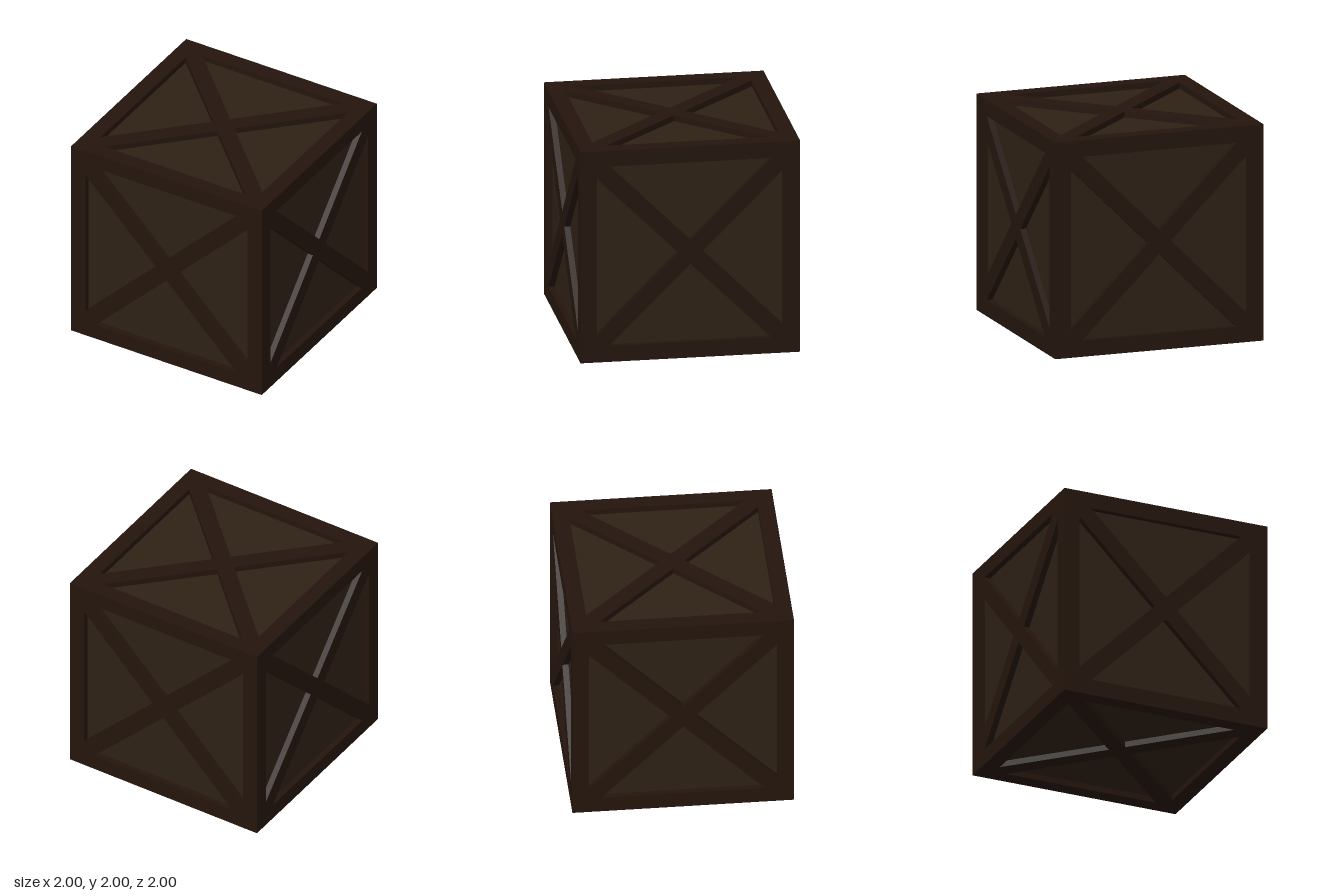
import * as THREE from 'three';

const BEAM = 0.15;          // width of the edge beams
const DEPTH = 0.055;        // recess of the panels
const INNER = 1 - BEAM;     // half size of the opening in each face
const HALF = 0.11;          // half width of a brace, measured along an axis

// X-shaped brace outline: the same corner turned through four quadrants
function braceGeometry() {
  const quadrant = [[HALF, 0], [INNER, INNER - HALF], [INNER, INNER], [INNER - HALF, INNER]];
  const points = [];
  for (let q = 0; q < 4; q++) {
    for (const [x, y] of quadrant) {
      points.push(new THREE.Vector2(x, y).rotateAround(new THREE.Vector2(), q * Math.PI / 2));
    }
  }
  return new THREE.ExtrudeGeometry(new THREE.Shape(points), { depth: DEPTH, bevelEnabled: false })
    .translate(0, 0, 1 - DEPTH);
}

export function createModel() {
  const model = new THREE.Group();
  model.name = 'crate';
  const crate = new THREE.Group();
  crate.name = 'crateBody';
  crate.position.y = 1;
  model.add(crate);

  const frameWood = new THREE.MeshStandardMaterial({ color: 0x24150d });
  const panelWood = new THREE.MeshStandardMaterial({ color: 0x2e2115 });
  const add = (name, geometry, material) => {
    const mesh = new THREE.Mesh(geometry, material);
    mesh.name = name;
    crate.add(mesh);
    return mesh;
  };

  // Recessed panels on all six sides
  const core = 2 - 2 * DEPTH;
  add('panels', new THREE.BoxGeometry(core, core, core), panelWood);

  // Edge beams: full-height posts with rails fitted between them
  const post = new THREE.BoxGeometry(BEAM, 2, BEAM);
  const railX = new THREE.BoxGeometry(2 * INNER, BEAM, BEAM);
  const railZ = new THREE.BoxGeometry(BEAM, BEAM, 2 * INNER);
  const c = 1 - BEAM / 2;
  for (const a of [-c, c]) {
    for (const b of [-c, c]) {
      add('cornerPost', post, frameWood).position.set(a, 0, b);
      add('crossRail', railX, frameWood).position.set(0, a, b);
      add('sideRail', railZ, frameWood).position.set(a, b, 0);
    }
  }

  // Diagonal braces, one X per face
  const brace = braceGeometry();
  for (let i = 0; i < 4; i++) add('sideBrace', brace, frameWood).rotation.y = i * Math.PI / 2;
  add('topBrace', brace, frameWood).rotation.x = -Math.PI / 2;
  add('bottomBrace', brace, frameWood).rotation.x = Math.PI / 2;

  return model;
}
